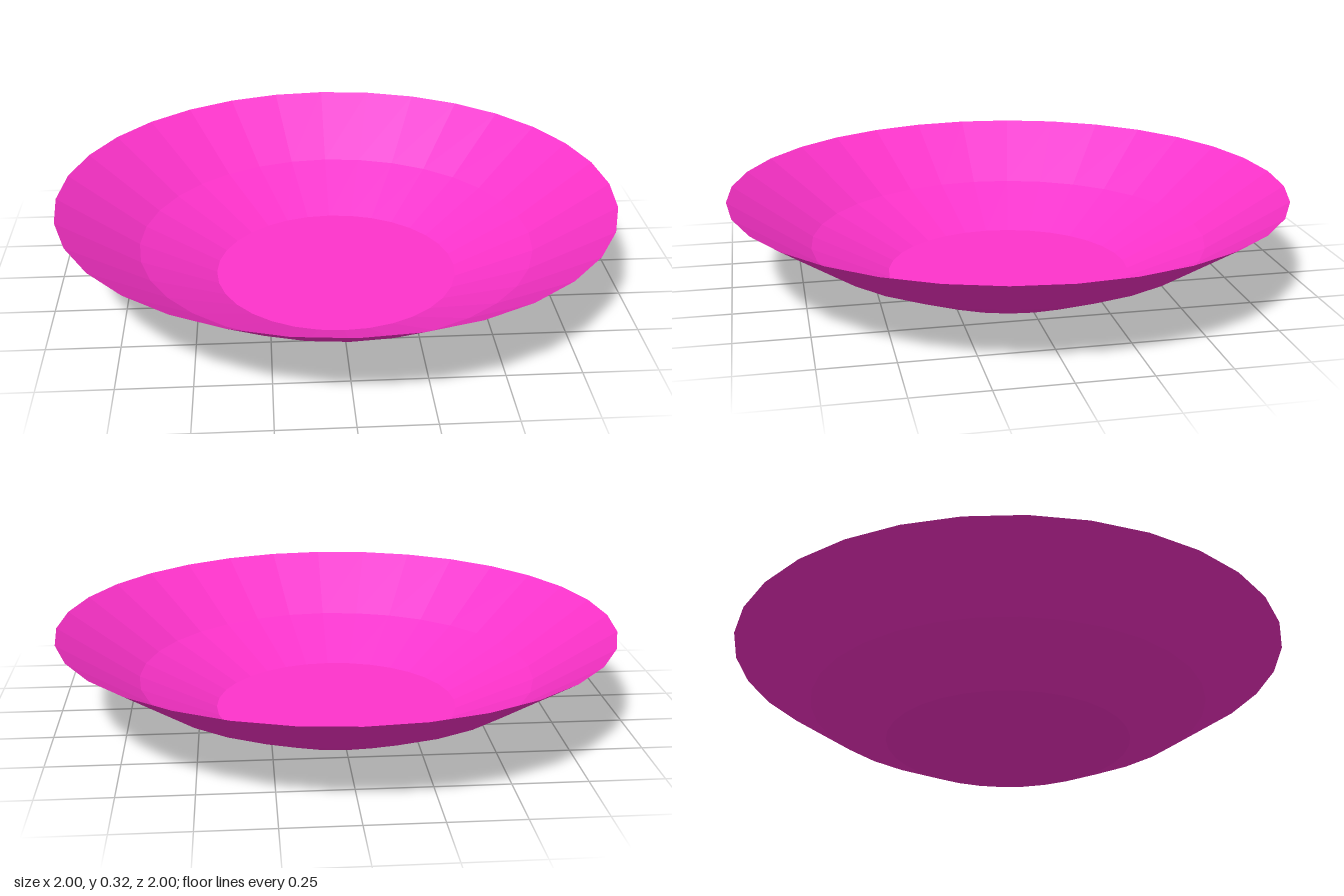
import * as THREE from 'three';

const SIDES = 32;
const BASE_RADIUS = 0.44;

export function createModel() {
  const model = new THREE.Group();
  model.name = 'dish';
  const material = new THREE.MeshStandardMaterial({
    color: 0xff33cc, flatShading: true, side: THREE.DoubleSide,
  });

  // Thin flared wall: shallow lower band, steeper upper band
  const profile = [[BASE_RADIUS, 0], [0.715, 0.125], [1, 0.316]]
    .map(([r, y]) => new THREE.Vector2(r, y));
  const wall = new THREE.Mesh(new THREE.LatheGeometry(profile, SIDES), material);
  wall.name = 'wall';

  // Flat floor closing the bottom
  const floor = new THREE.Mesh(new THREE.CircleGeometry(BASE_RADIUS, SIDES), material);
  floor.rotation.x = Math.PI / 2;
  floor.name = 'floor';

  model.add(wall, floor);
  return model;
}
